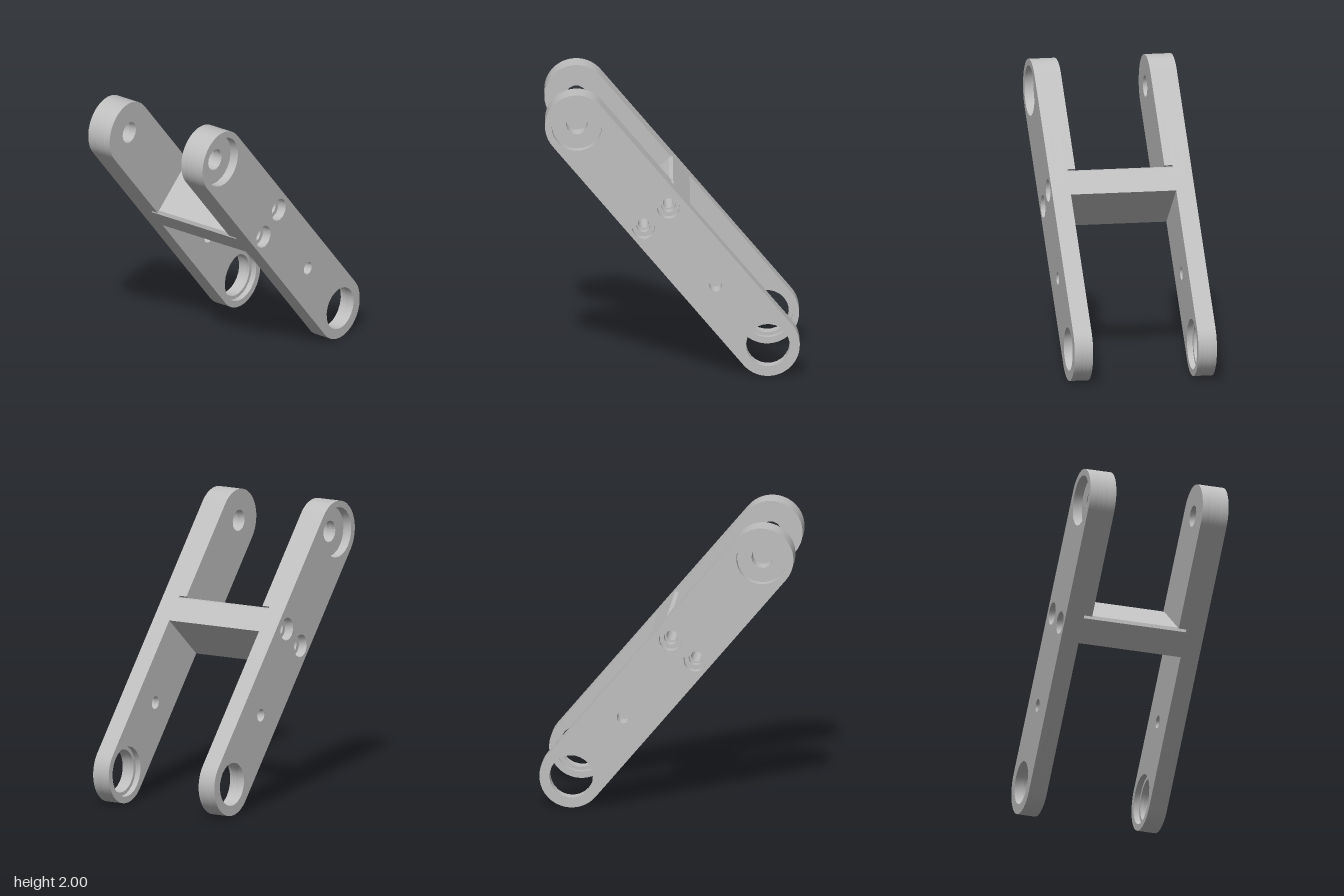
import * as THREE from 'three';
import { toCreasedNormals } from 'three/addons/utils/BufferGeometryUtils.js';

const R = 0.22;        // half width of an arm
const END = 1.02;      // distance from the middle to each end pivot
const BOLTS = [[0.171, 0.108], [0.171, -0.115]];

const metal = new THREE.MeshStandardMaterial({ color: 0xbfbfbf });
metal.name = 'grey metal';

// Round hole with a chosen number of sides
function hole(u, v, r, n) {
  const pts = [];
  for (let i = 0; i < n; i++) {
    const a = (i / n) * Math.PI * 2;
    pts.push(new THREE.Vector2(u + r * Math.cos(a), v + r * Math.sin(a)));
  }
  return new THREE.Path(pts);
}

// Arm outline: rounded at the upper end, rounded or square at the lower end
function armShape(start, holes) {
  const s = new THREE.Shape();
  s.absarc(END, 0, R, -Math.PI / 2, Math.PI / 2, false);
  if (start === undefined) {
    s.absarc(-END, 0, R, Math.PI / 2, Math.PI * 1.5, false);
  } else {
    s.lineTo(start, R);
    s.lineTo(start, -R);
  }
  s.closePath();
  s.holes = holes;
  return s;
}

// Extrude a shape across the model from w0 to w1
function slab(name, shape, w0, w1) {
  const g = new THREE.ExtrudeGeometry(shape, { depth: w1 - w0, bevelEnabled: false, curveSegments: 12 });
  g.translate(0, 0, w0);
  const mesh = new THREE.Mesh(toCreasedNormals(g, 0.7), metal);
  mesh.name = name;
  return mesh;
}

function holes(top, bottom, bolt) {
  return [
    hole(END, 0, top, top > 0.1 ? 24 : 14),
    hole(-END, 0, bottom, 24),
    hole(-0.462, 0, 0.045, 12),
    ...BOLTS.map(([u, v]) => hole(u, v, bolt, 12)),
  ];
}

export function createModel() {
  const model = new THREE.Group();
  model.name = 'linkArm';
  const link = new THREE.Group();
  link.name = 'tiltedLink';

  // Each arm is a stack of layers, so recesses open on the correct faces
  const layers = [
    ['armOuterLayer', armShape(undefined, holes(0.175, 0.15, 0.08)), 0.435, 0.5],
    ['armCoreLayer', armShape(undefined, holes(0.075, 0.15, 0.05)), 0.41, 0.435],
    ['armInnerLayer', armShape(undefined, holes(0.075, 0.175, 0.05)), 0.37, 0.41],
    ['upperArmPad', armShape(0.27, [hole(END, 0, 0.075, 14)]), 0.313, 0.37],
  ];
  for (const side of [1, -1]) {
    const arm = new THREE.Group();
    arm.name = side > 0 ? 'rightArm' : 'leftArm';
    for (const [name, shape, a, b] of layers) {
      arm.add(slab(name, shape, side > 0 ? a : -b, side > 0 ? b : -a));
    }
    link.add(arm);
  }

  // Cross bar with chamfered upper edges and two long bolt holes
  const bar = new THREE.Shape([
    [0.07, -R], [0.25, -R], [0.27, -0.2], [0.27, 0.2], [0.25, R], [0.07, R],
  ].map(([u, v]) => new THREE.Vector2(u, v)));
  bar.holes = BOLTS.map(([u, v]) => hole(u, v, 0.038, 12));
  link.add(slab('crossBar', bar, -0.37, 0.37));

  // Lean the link: its length runs up and to the front
  const c = 0.7647, s = 0.6444;
  link.quaternion.setFromRotationMatrix(new THREE.Matrix4().makeBasis(
    new THREE.Vector3(0, c, s),
    new THREE.Vector3(0, s, -c),
    new THREE.Vector3(-1, 0, 0),
  ));
  link.position.y = 1;
  model.add(link);
  return model;
}
